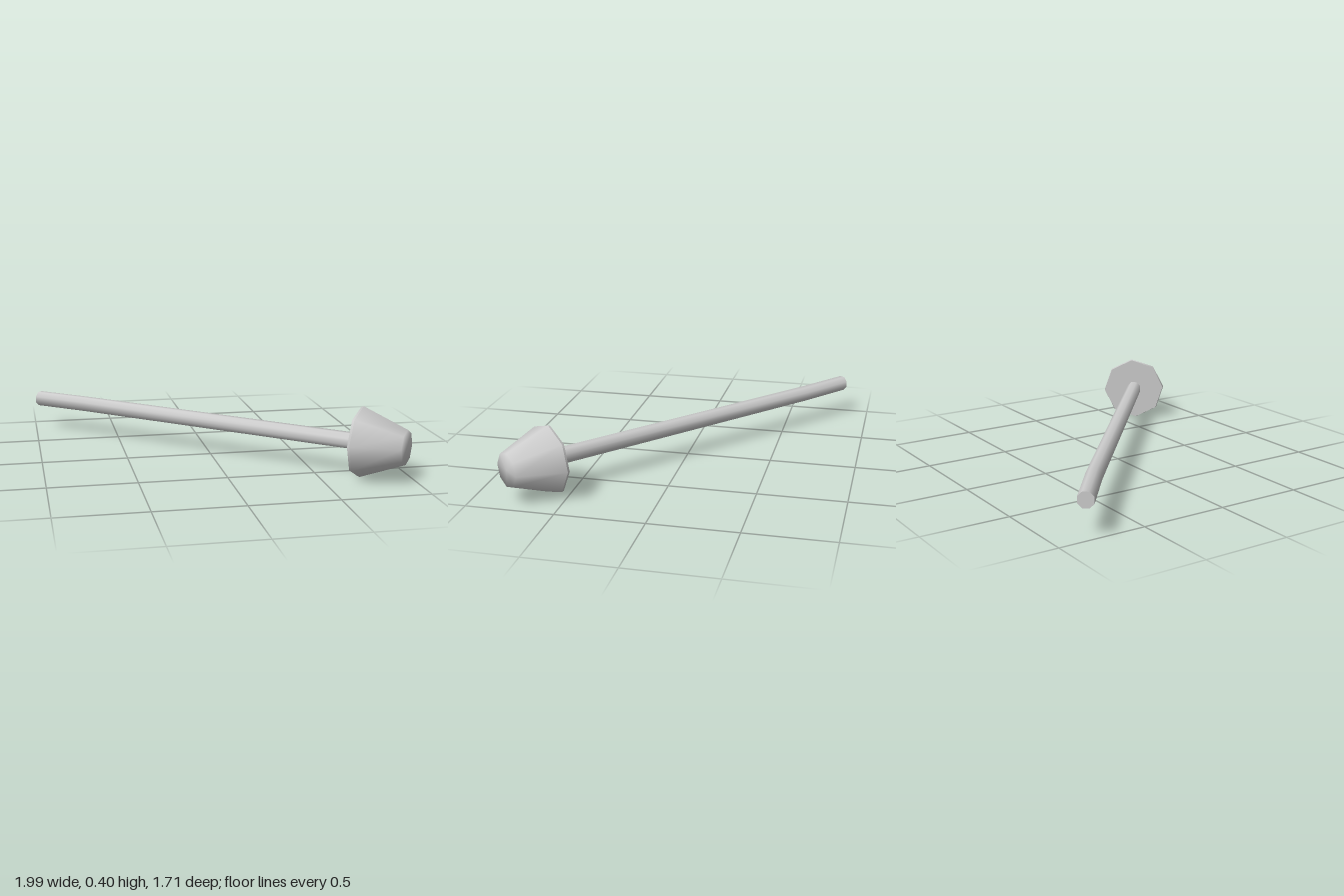
import * as THREE from 'three';

const CENTER_Y = 0.2;
const material = () => new THREE.MeshStandardMaterial({ color: 0xcccccc });

// Eight-sided shaft with one slight kink, bent from a cylinder with three rings
function makeShaft() {
  const rings = [
    { x: 0.735, z: 0.62, nx: 0.65, nz: -0.76 },
    { x: -0.69, z: -0.605, nx: 0.64, nz: -0.77 },
    { x: -0.97, z: -0.828, nx: 0.66, nz: -0.75 },
  ];
  const geo = new THREE.CylinderGeometry(0.047, 0.047, 2, 8, 2, false, Math.PI / 8);
  const pos = geo.attributes.position;
  for (let i = 0; i < pos.count; i++) {
    const ring = rings[Math.round(1 - pos.getY(i))];
    const across = pos.getX(i);
    pos.setXYZ(i, ring.x + ring.nx * across, CENTER_Y - pos.getZ(i), ring.z + ring.nz * across);
  }
  geo.computeVertexNormals();
  const shaft = new THREE.Mesh(geo, material());
  shaft.name = 'shaft';
  return shaft;
}

// Eight-sided turned part, smooth along its profile of [radius, height]
function turned(name, profile) {
  const points = profile.map(([r, h]) => new THREE.Vector2(r, h));
  const geo = new THREE.LatheGeometry(points, 8, THREE.MathUtils.degToRad(-4.5));
  const mesh = new THREE.Mesh(geo, material());
  mesh.name = name;
  return mesh;
}

// Blunt cone head pointing along the shaft
function makeHead() {
  const head = new THREE.Group();
  head.name = 'head';
  head.add(
    turned('headBack', [[0, 0], [0.196, 0]]),
    turned('headRim', [[0.196, 0], [0.2, 0.014]]),
    turned('headCone', [[0.2, 0.014], [0.098, 0.272], [0, 0.272]]),
  );
  const along = new THREE.Vector3(0.78, 0, 0.625).normalize();
  const across = new THREE.Vector3(along.z, 0, -along.x);
  const down = new THREE.Vector3(0, -1, 0);
  head.quaternion.setFromRotationMatrix(new THREE.Matrix4().makeBasis(across, along, down));
  head.position.set(0.722, CENTER_Y, 0.608);
  return head;
}

export function createModel() {
  const model = new THREE.Group();
  model.name = 'mallet';
  model.add(makeShaft(), makeHead());
  return model;
}
